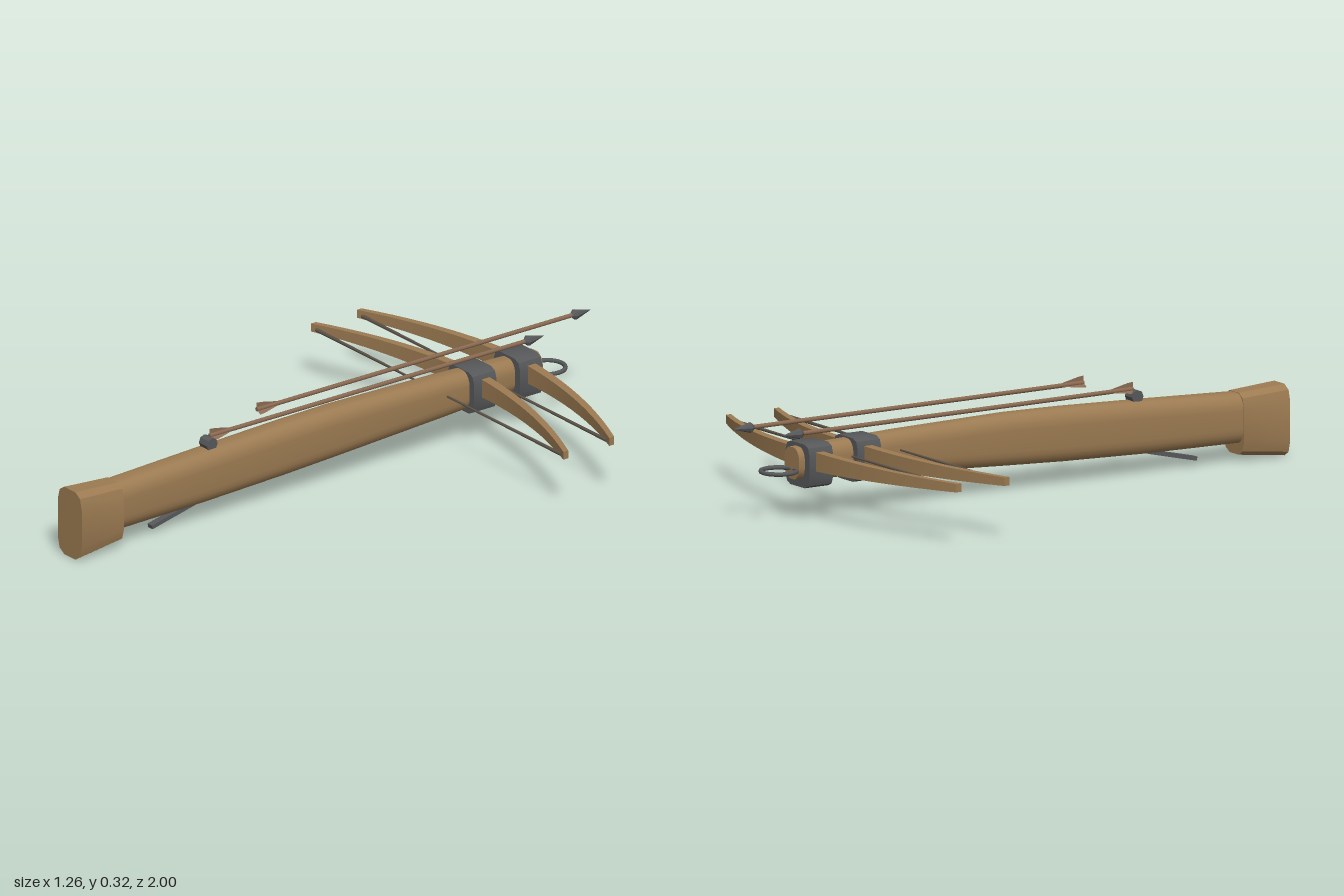
import * as THREE from 'three';
import { toCreasedNormals } from 'three/addons/utils/BufferGeometryUtils.js';

const wood = new THREE.MeshStandardMaterial({ color: 0x9c7b52 });
const metal = new THREE.MeshStandardMaterial({ color: 0x57585a });
const shaftWood = new THREE.MeshStandardMaterial({ color: 0x8a6a52 });
const cord = new THREE.MeshStandardMaterial({ color: 0x5c5348 });
const feather = new THREE.MeshStandardMaterial({ color: 0x8a6a52, side: THREE.DoubleSide });

// Loft of rounded rectangles; sections run from high z to low z: [z, bottom, top, halfWidth, rx, ry]
function loft(sections, seg, crease) {
  const pos = [], idx = [], n = 4 * (seg + 1);
  for (const [z, y0, y1, hw, rx, ry] of sections) {
    for (let c = 0; c < 4; c++) {
      const sx = c === 0 || c === 3 ? 1 : -1, sy = c < 2 ? 1 : -1;
      for (let k = 0; k <= seg; k++) {
        const a = (c + k / seg) * Math.PI / 2;
        pos.push(sx * (hw - rx) + rx * Math.cos(a),
          (y0 + y1) / 2 + sy * ((y1 - y0) / 2 - ry) + ry * Math.sin(a), z);
      }
    }
  }
  for (let i = 0; i < sections.length - 1; i++) {
    for (let j = 0; j < n; j++) {
      const a = i * n + j, b = i * n + (j + 1) % n;
      idx.push(a, a + n, b, b, a + n, b + n);
    }
  }
  const last = (sections.length - 1) * n;
  for (let j = 1; j < n - 1; j++) {
    idx.push(0, j, j + 1, last, last + j + 1, last + j);
  }
  const g = new THREE.BufferGeometry();
  g.setAttribute('position', new THREE.Float32BufferAttribute(pos, 3));
  g.setIndex(idx);
  return toCreasedNormals(g, crease);
}

function add(parent, name, geometry, material, x = 0, y = 0, z = 0) {
  const m = new THREE.Mesh(geometry, material);
  m.name = name;
  m.position.set(x, y, z);
  parent.add(m);
  return m;
}

// Curved bow stave, thick in the middle and thin at the tips
function staveGeometry() {
  const g = new THREE.BoxGeometry(1.26, 1, 1, 24, 1, 1);
  const p = g.attributes.position;
  for (let i = 0; i < p.count; i++) {
    const x = p.getX(i), t = Math.abs(x) / 0.63;
    p.setY(i, 0.183 + p.getY(i) * (0.062 - 0.036 * t));
    p.setZ(i, p.getZ(i) * (0.032 - 0.013 * t) + 0.13 * t * t);
  }
  g.computeVertexNormals();
  return g;
}

// Bow with its string and the band that ties it to the stock
function makeBow(name, z) {
  const bow = new THREE.Group();
  bow.name = name;
  bow.position.z = z;
  add(bow, 'stave', staveGeometry(), wood);
  for (const s of [1, -1]) {
    const half = add(bow, s > 0 ? 'leftString' : 'rightString',
      new THREE.CylinderGeometry(0.006, 0.003, 0.61, 8), cord, s * 0.305, 0.18, 0.133);
    half.rotation.z = -s * Math.PI / 2;
  }
  add(bow, 'band', loft([[0.043, 0.1, 0.235, 0.065, 0.026, 0.03],
    [-0.043, 0.1, 0.235, 0.065, 0.026, 0.03]], 2, 0.5), metal, 0, 0, 0.005);
  return bow;
}

// Bolt pointing to -z, with its tail at the given z
function makeBolt(name, y, tail) {
  const bolt = new THREE.Group();
  bolt.name = name;
  bolt.position.set(0, y, tail);
  const shaft = add(bolt, 'shaft', new THREE.CylinderGeometry(0.007, 0.007, 1.22, 8), shaftWood, 0, 0, -0.61);
  shaft.rotation.x = Math.PI / 2;
  const profile = [[0.007, 0], [0.017, 0.012], [0, 0.075]].map(p => new THREE.Vector2(...p));
  const head = add(bolt, 'head', toCreasedNormals(new THREE.LatheGeometry(profile, 8), 0.3), metal, 0, 0, -1.205);
  head.rotation.x = -Math.PI / 2;
  // Three tapering vanes around the tail
  const vane = new THREE.Shape();
  vane.moveTo(0, 0);
  vane.lineTo(0, 0.022);
  vane.lineTo(0.02, 0.02);
  vane.lineTo(0.095, 0.004);
  vane.lineTo(0.095, 0);
  for (let i = 0; i < 3; i++) {
    const holder = new THREE.Group();
    holder.name = 'vane' + (i + 1);
    holder.rotation.z = i * Math.PI * 2 / 3;
    const fin = add(holder, 'fin', new THREE.ShapeGeometry(vane), feather);
    fin.rotation.y = Math.PI / 2;
    bolt.add(holder);
  }
  return bolt;
}

export function createModel() {
  const model = new THREE.Group();
  model.name = 'doubleCrossbow';

  // Long tapering stock and its heavier butt
  add(model, 'stock', loft([
    [0.85, 0.055, 0.21, 0.052, 0.036, 0.05],
    [0.5, 0.06, 0.226, 0.05, 0.036, 0.05],
    [0.2, 0.07, 0.238, 0.048, 0.035, 0.05],
    [0, 0.08, 0.242, 0.047, 0.034, 0.048],
    [-0.4, 0.102, 0.236, 0.044, 0.032, 0.044],
    [-0.78, 0.125, 0.224, 0.04, 0.03, 0.04]], 5, 0.7), wood);
  add(model, 'butt', loft([
    [1, 0, 0.222, 0.06, 0.032, 0.05],
    [0.835, 0.02, 0.212, 0.055, 0.03, 0.046]], 2, 0.5), wood);

  // Two bows, one behind the other
  model.add(makeBow('rearBow', -0.545), makeBow('foreBow', -0.721));

  // Ring at the nose
  const ring = add(model, 'noseRing', new THREE.TorusGeometry(0.055, 0.007, 8, 32), metal, 0, 0.155, -0.828);
  ring.rotation.x = Math.PI / 2;

  // Bolts
  model.add(makeBolt('lowerBolt', 0.262, 0.465), makeBolt('upperBolt', 0.302, 0.285));

  // Release nut and trigger lever
  const nut = add(model, 'nut', toCreasedNormals(new THREE.CylinderGeometry(0.021, 0.021, 0.04, 8), 0.5), metal, 0, 0.24, 0.47);
  nut.rotation.z = Math.PI / 2;
  const trigger = add(model, 'trigger', new THREE.BoxGeometry(0.022, 0.013, 0.18), metal, 0, 0.042, 0.605);
  trigger.rotation.x = 0.23;

  return model;
}
